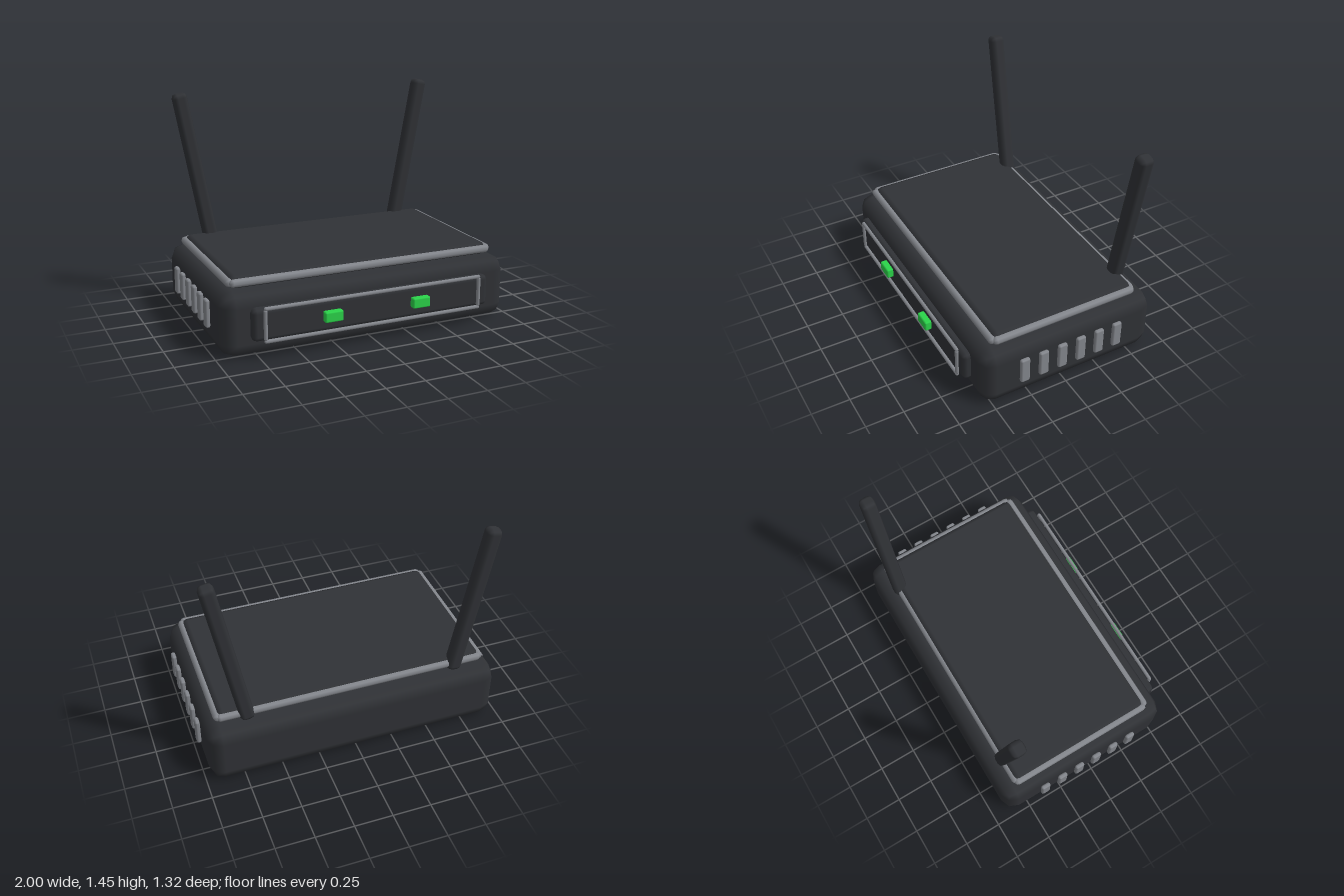
import * as THREE from 'three';
import { RoundedBoxGeometry } from 'three/addons/geometries/RoundedBoxGeometry.js';

export function createModel() {
  const model = new THREE.Group();
  const dark = new THREE.MeshStandardMaterial({ color: 0x303236 });
  const trim = new THREE.MeshStandardMaterial({ color: 0x84878d });
  const green = new THREE.MeshStandardMaterial({ color: 0x2bd44a });

  // Box with softly bevelled edges, centred at x, y, z
  function block(name, material, [w, h, d], radius, [x, y, z]) {
    const mesh = new THREE.Mesh(new RoundedBoxGeometry(w, h, d, 1, radius), material);
    mesh.name = name;
    mesh.position.set(x, y, z);
    model.add(mesh);
    return mesh;
  }

  // Housing, lid and front panel
  block('housing', dark, [1.94, 0.41, 1.222], 0.09, [0, 0.205, -0.046]);
  block('lid', dark, [1.77, 0.087, 1.0], 0.04, [0, 0.4435, -0.045]);
  block('frontPanel', dark, [1.6, 0.206, 0.1], 0.03, [0, 0.217, 0.565]);

  // Rails framing the lid
  for (const z of [0.457, -0.535]) {
    block('lidRail', trim, [1.78, 0.052, 0.052], 0.025, [0, 0.446, z]);
  }

  // Horizontal rails framing the front panel
  for (const y of [0.322, 0.118]) {
    block('frontRail', trim, [1.47, 0.025, 0.025], 0.012, [0, y, 0.622]);
  }

  // Mirrored parts
  for (const side of [-1, 1]) {
    block('lidSideRail', trim, [0.052, 0.052, 1.01], 0.025, [side * 0.883, 0.446, -0.045]);
    block('frontSideRail', trim, [0.025, 0.195, 0.025], 0.012, [side * 0.725, 0.22, 0.622]);
    block('statusLight', green, [0.12, 0.068, 0.05], 0.01, [side * 0.297, 0.219, 0.634]);

    // Antenna leaning outwards
    const antenna = block('antenna', dark, [0.095, 1.06, 0.095], 0.03, [side * 0.79, 0.922, -0.531]);
    antenna.rotation.z = -side * 0.185;

    // Row of side vents
    for (let i = 0; i < 6; i++) {
      block('sideVent', trim, [0.03, 0.18, 0.064], 0.012, [side * 0.985, 0.225, 0.293 - i * 0.1327]);
    }
  }
  return model;
}
